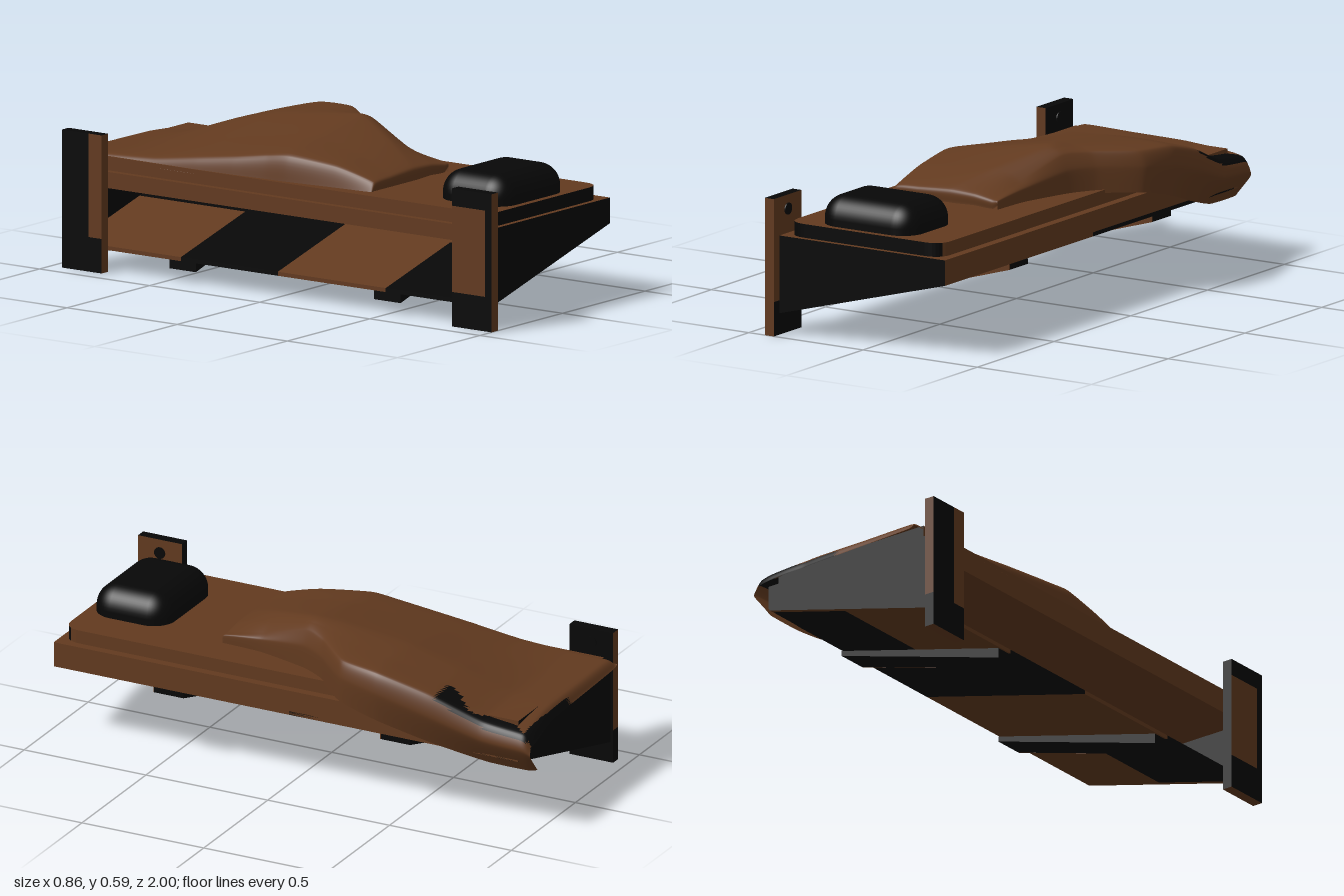
import * as THREE from 'three';
import { RoundedBoxGeometry } from 'three/addons/geometries/RoundedBoxGeometry.js';

export function createModel() {
  const model = new THREE.Group();
  const brown = new THREE.MeshStandardMaterial({ color: 0x623a1f, side: THREE.DoubleSide });
  brown.name = 'brown';
  const black = new THREE.MeshStandardMaterial({ color: 0x070707, side: THREE.DoubleSide });
  black.name = 'black';

  function add(name, geometry, material, x = 0, y = 0, z = 0) {
    const mesh = new THREE.Mesh(geometry, material);
    mesh.name = name;
    mesh.position.set(x, y, z);
    model.add(mesh);
    return mesh;
  }

  // Sorts triangles into a brown group and a black group by centre and face normal
  function paint(source, isBlack) {
    const geo = source.index ? source.toNonIndexed() : source;
    const pos = geo.attributes.position, nor = geo.attributes.normal;
    const sets = [[], []];
    const tri = new THREE.Triangle(), c = new THREE.Vector3(), n = new THREE.Vector3();
    for (let i = 0; i < pos.count; i += 3) {
      tri.setFromAttributeAndIndices(pos, i, i + 1, i + 2);
      tri.getMidpoint(c);
      tri.getNormal(n);
      sets[isBlack(c, n) ? 1 : 0].push(i, i + 1, i + 2);
    }
    const out = new THREE.BufferGeometry();
    out.setAttribute('position', pos);
    out.setAttribute('normal', nor);
    out.setIndex([...sets[0], ...sets[1]]);
    out.addGroup(0, sets[0].length, 0);
    out.addGroup(sets[0].length, sets[1].length, 1);
    return out;
  }
  const both = [brown, black];

  // Extrudes an outline in x, y between two z positions
  function prism(name, points, z0, z1, material) {
    const shape = new THREE.Shape(points.map(p => new THREE.Vector2(...p)));
    const geo = new THREE.ExtrudeGeometry(shape, { depth: z1 - z0, bevelEnabled: false });
    return add(name, geo, material, 0, 0, z0);
  }

  // Hollow wedge frame, open on the wall side: end plates, deck and outer rail
  const left = -0.39, right = 0.335, back = -0.94, front = 0.965;
  const under = x => 0.08 + 0.269 * (x - left);
  const wedge = [[left, under(left)], [right, under(right)], [right, 0.37], [left, 0.37]];
  prism('frontPlate', wedge, front - 0.02, front, [black, brown]);
  prism('backPlate', wedge, back, back + 0.02, [black, brown]);
  const length = front - back - 0.04, middle = (front + back) / 2;
  add('deck', new THREE.BoxGeometry(right - left, 0.06, length), brown, (left + right) / 2, 0.34, middle);
  add('outerRail', new THREE.BoxGeometry(0.03, 0.095, length), brown, right - 0.015, 0.3225, middle);

  // Sloping slabs along the bottom; a positive thickness hangs below it
  function slab(name, x0, x1, z0, z1, t0, t1, material) {
    prism(name, [[x0, under(x0) - t0], [x1, under(x1) - t1], [x1, under(x1)], [x0, under(x0)]],
      z0, z1, material);
  }
  for (const [x0, x1, z0, z1, material] of [
    [left, 0, 0.49, front - 0.02, black],
    [0, right, 0.49, front - 0.02, brown],
    [left, right, 0, 0.49, brown],
    [left, right, -0.44, 0, black],
    [left, 0, back + 0.02, -0.44, brown],
    [0, right, back + 0.02, -0.44, black],
  ]) slab('bottomPanel', x0, x1, z0, z1, -0.015, -0.015, material);
  for (const z of [0.43, -0.5]) {
    slab('supportStrap', -0.38, 0.34, z, z + 0.12, 0.038, 0.02, black);
    slab('strapFace', 0, 0.34, z + 0.12, z + 0.124, 0.029, 0.02, brown);
  }

  // Wall posts, coloured in blocks
  const frontPost = (c, n) =>
    n.y > 0.5 ? true :
    n.x > 0.5 ? c.y < -0.127 :
    n.x < -0.5 ? c.y < -0.127 || c.y > 0.19 || c.z > 0.06 :
    n.z < -0.5;
  const backPost = (c, n) =>
    n.x > 0.5 || n.y > 0.5 ? true :
    n.x < -0.5 ? c.y < -0.127 || c.z < 0.03 :
    n.z < -0.5 && c.y < -0.127;
  for (const [name, z, rule] of [['frontPost', 0.91, frontPost], ['backPost', -0.86, backPost]]) {
    const box = new THREE.BoxGeometry(0.04, 0.512, 0.18, 1, 8, 6);
    add(name, paint(box, rule), both, -0.41, 0.256, z);
    const bolt = add('bolt', new THREE.CylinderGeometry(0.022, 0.022, 0.006, 20), black, -0.388, 0.46, z);
    bolt.rotation.z = Math.PI / 2;
  }

  // Mattress with rounded corners in plan
  const x0 = -0.365, x1 = 0.302, z0 = -0.925, z1 = 0.945, r = 0.07;
  const plan = new THREE.Shape();
  plan.moveTo(x0 + r, -z1);
  plan.lineTo(x1 - r, -z1);
  plan.quadraticCurveTo(x1, -z1, x1, -z1 + r);
  plan.lineTo(x1, -z0);
  plan.lineTo(x0, -z0);
  plan.lineTo(x0, -z1 + r);
  plan.quadraticCurveTo(x0, -z1, x0 + r, -z1);
  const pad = new THREE.ExtrudeGeometry(plan, { depth: 0.055, bevelEnabled: false, curveSegments: 8 });
  pad.rotateX(-Math.PI / 2);
  add('mattress', paint(pad, (c, n) => n.z < -0.4 || n.z > (c.x > 0 ? 0.6 : 0.2)), both, 0, 0.366, 0);

  // Pillow, its lower half sunk into the mattress
  add('pillow', new RoundedBoxGeometry(0.41, 0.2, 0.31, 6, 0.085), black, -0.055, 0.43, 0.765);

  // Blanket: z, left x, left y, crest x, crest y, right x, right y, hem y
  const rows = [
    [0.36, -0.31, 0.42, -0.05, 0.42, 0.16, 0.42, 0.41],
    [0.355, -0.315, 0.455, -0.05, 0.47, 0.16, 0.455, 0.41],
    [0.2, -0.325, 0.495, 0.03, 0.53, 0.17, 0.49, 0.41],
    [0, -0.345, 0.515, 0.12, 0.588, 0.225, 0.56, 0.41],
    [-0.1, -0.35, 0.505, 0.12, 0.585, 0.28, 0.56, 0.41],
    [-0.24, -0.36, 0.485, 0.12, 0.57, 0.4, 0.555, 0.4],
    [-0.4, -0.365, 0.465, 0.12, 0.55, 0.428, 0.545, 0.36],
    [-0.6, -0.365, 0.44, 0.12, 0.5, 0.405, 0.49, 0.295],
    [-0.8, -0.365, 0.43, 0.1, 0.435, 0.37, 0.41, 0.24],
    [-0.95, -0.365, 0.425, 0.1, 0.42, 0.365, 0.39, 0.235],
    [-0.98, -0.365, 0.395, 0.1, 0.38, 0.355, 0.35, 0.24],
  ];
  const U = 70, V = 110;
  // Low tension keeps the spans between points nearly straight
  const spline = points => new THREE.CatmullRomCurve3(points, false, 'catmullrom', 0.3);
  const sections = rows.map(([z, xl, yl, xc, yc, xr, yr, ys]) => {
    const hang = Math.max(0, 0.41 - ys);
    return spline([
      [xl, 0.405],
      [xl + 0.03, yl],
      [(xl + xc) / 2, (yl + yc) / 2],
      [xc, yc],
      [(xc + xr) / 2, (yc + yr) / 2 + 0.004],
      [xr - 0.025, yr],
      [xr, (yr + ys) / 2 + 0.02],
      [xr - hang * 0.35, ys],
    ].map(([x, y]) => new THREE.Vector3(x, y, z))).getPoints(U);
  });
  const verts = [], faces = [];
  for (let u = 0; u <= U; u++) {
    for (const p of spline(sections.map(s => s[u])).getPoints(V)) {
      // The free back corner bulges outwards
      const bulge = p.z < -0.9 && p.x > 0.15 ? 0.02 * Math.min(1, (p.x - 0.15) / 0.15) * (-0.9 - p.z) / 0.08 : 0;
      verts.push(p.x, p.y, p.z - bulge);
    }
  }
  for (let u = 0; u < U; u++) {
    for (let v = 0; v < V; v++) {
      const a = u * (V + 1) + v, b = a + V + 1;
      faces.push(a, b, a + 1, b, b + 1, a + 1);
    }
  }
  const cloth = new THREE.BufferGeometry();
  cloth.setAttribute('position', new THREE.Float32BufferAttribute(verts, 3));
  cloth.setIndex(faces);
  cloth.computeVertexNormals();
  // Dark wavy patch on the free corner and a dark strip on the back edge
  const patchEdge = z => 0.3 + 0.035 * Math.cos((z + 0.75) * Math.PI / 0.11);
  add('blanket', paint(cloth, (c, n) =>
    (c.z < -0.62 && c.x > patchEdge(c.z) && c.x < 0.385 && n.y > 0.45) ||
    (c.x > 0 && c.x < 0.34 && c.z < -0.965 && c.y > 0.33)), both);

  return model;
}
